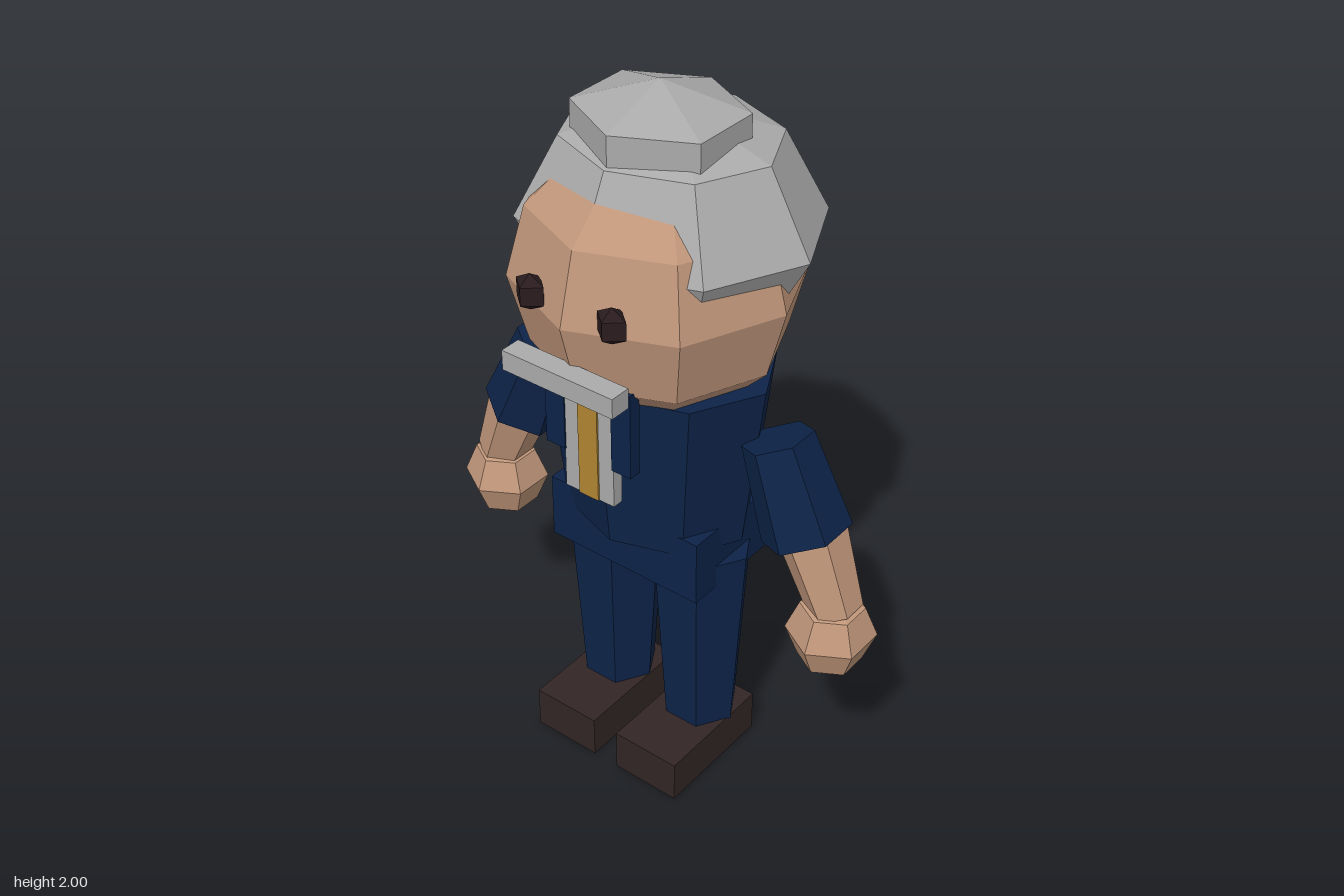
import * as THREE from 'three';

const mat = (name, color) => {
  const m = new THREE.MeshStandardMaterial({ color });
  m.name = name;
  return m;
};

export function createModel() {
  const model = new THREE.Group();
  const skin = mat('skin', 0xc0967a);
  const grey = mat('grey', 0xaaaaaa);
  const navy = mat('navy', 0x0d2348);
  const gold = mat('gold', 0xb08432);
  const shoe = mat('shoe brown', 0x322525);
  const dark = mat('eye black', 0x2a1c1e);

  // Faceted mesh: every face gets its own normal
  const add = (name, geometry, material) => {
    const g = geometry.index ? geometry.toNonIndexed() : geometry;
    g.computeVertexNormals();
    const mesh = new THREE.Mesh(g, material);
    mesh.name = name;
    model.add(mesh);
    return mesh;
  };

  // Box from its limits on each axis
  const box = (name, [x0, x1], [y0, y1], [z0, z1], material) =>
    add(name, new THREE.BoxGeometry(x1 - x0, y1 - y0, z1 - z0)
      .translate((x0 + x1) / 2, (y0 + y1) / 2, (z0 + z1) / 2), material);

  // Low-poly ball with radii per axis
  const ball = (name, radii, centre, sides, rings, turn, material) =>
    add(name, new THREE.SphereGeometry(1, sides, rings)
      .rotateY(turn).scale(...radii).translate(...centre), material);

  // Six-sided tapered limb in the xy plane, from its upper to its lower end
  const limb = (name, [x0, y0], [x1, y1], rTop, rBottom, turn, material) => {
    const dx = x0 - x1, dy = y0 - y1;
    return add(name, new THREE.CylinderGeometry(rTop, rBottom, Math.hypot(dx, dy), 6)
      .rotateY(turn).rotateZ(Math.atan2(-dx, dy))
      .translate((x0 + x1) / 2, (y0 + y1) / 2, 0), material);
  };

  // Head and hair
  ball('head', [0.38, 0.38, 0.38], [0, 1.5, 0], 8, 6, 0, skin);
  ball('hair', [0.41, 0.305, 0.36], [0, 1.63, -0.045], 8, 4, 0, grey);
  ball('hairTuft', [0.26, 0.14, 0.23], [0, 1.86, 0], 6, 3, Math.PI / 6, grey);
  box('moustache', [-0.172, 0.172], [1.33, 1.386], [0.34, 0.4], grey);

  // Jacket, shirt and tie
  add('torso', new THREE.CylinderGeometry(0.33, 0.27, 0.485, 8)
    .scale(1, 1, 0.79).translate(0, 1.0125, 0), navy);
  box('hips', [-0.243, 0.243], [0.645, 0.835], [-0.16, 0.16], navy);
  box('shirt', [-0.078, 0.078], [0.96, 1.3], [0.255, 0.287], grey);
  box('tie', [-0.031, 0.031], [0.96, 1.26], [0.284, 0.292], gold);

  for (const s of [1, -1]) {
    const side = s > 0 ? 'left' : 'right';
    const span = (a, b) => (s > 0 ? [a, b] : [-b, -a]);

    ball(side + 'Eye', [0.05, 0.05, 0.042], [s * 0.125, 1.54, 0.34], 4, 3, 0, dark);
    box(side + 'Lapel', span(0.075, 0.136), [1.075, 1.32], [0.255, 0.291], navy);

    // Arm
    limb(side + 'Sleeve', [s * 0.37, 1.14], [s * 0.47, 0.892], 0.095, 0.12, 0, navy);
    limb(side + 'Forearm', [s * 0.485, 0.9], [s * 0.57, 0.69], 0.093, 0.073, 0, skin);
    ball(side + 'Hand', [0.12, 0.12, 0.12], [s * 0.56, 0.615, 0], 6, 4, Math.PI / 6, skin);

    // Leg
    limb(side + 'Leg', [s * 0.145, 0.715], [s * 0.145, 0.12], 0.142, 0.105, Math.PI / 6, navy);
    box(side + 'Shoe', span(0.04, 0.245), [0, 0.125], [-0.115, 0.25], shoe);
  }
  return model;
}
